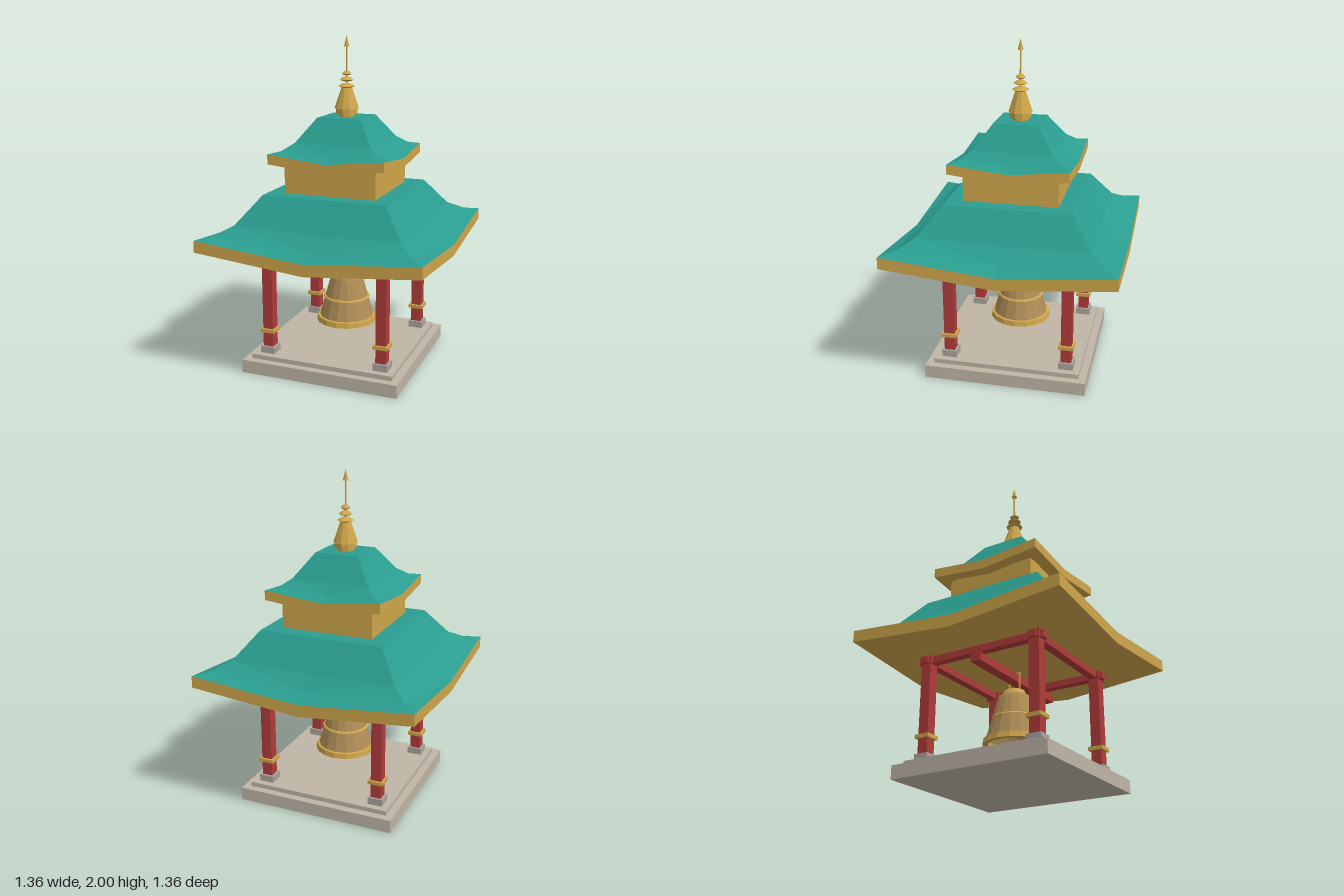
import * as THREE from 'three';

const mat = (name, color) => new THREE.MeshStandardMaterial({ name, color, flatShading: true });

export function createModel() {
  const teal = mat('roof teal', 0x2a9d8f);
  const gold = mat('gold', 0xcfa64b);
  const red = mat('red wood', 0xb03c3a);
  const stone = mat('stone', 0xbfb5a6);
  const greyStone = mat('grey stone', 0xaaa59d);
  const bronze = mat('bronze', 0xb08d57);

  const model = new THREE.Group();
  model.name = 'bellPavilion';

  function add(name, geometry, material, x = 0, y = 0, z = 0, parent = model) {
    const mesh = new THREE.Mesh(geometry, material);
    mesh.name = name;
    mesh.position.set(x, y, z);
    parent.add(mesh);
    return mesh;
  }
  // Box given by its size and its bottom and top heights
  const box = (name, material, w, y0, y1, d, x = 0, z = 0) =>
    add(name, new THREE.BoxGeometry(w, y1 - y0, d), material, x, (y0 + y1) / 2, z);
  const lathe = (name, material, points, sides, y = 0) =>
    add(name, new THREE.LatheGeometry(points.map(p => new THREE.Vector2(...p)), sides), material, 0, y, 0);

  // Stacks square rings [half width, height at mid side, height at corner]
  const DIRS = [[0, 1], [1, 1], [1, 0], [1, -1], [0, -1], [-1, -1], [-1, 0], [-1, 1]];
  function squareLoft(rings, cap) {
    const pos = [], index = [];
    for (const [r, yMid, yCorner] of rings)
      DIRS.forEach(([dx, dz], i) => pos.push(r * dx, i % 2 ? yCorner : yMid, r * dz));
    for (let k = 0; k < rings.length - 1; k++)
      for (let i = 0; i < 8; i++) {
        const j = (i + 1) % 8, a = k * 8 + i, b = k * 8 + j, c = b + 8, d = a + 8;
        if (i % 2) index.push(a, b, d, b, c, d);
        else index.push(a, b, c, a, c, d);
      }
    const ring = cap === 'top' ? rings.length - 1 : 0;
    const centre = pos.length / 3;
    pos.push(0, rings[ring][1], 0);
    for (let i = 0; i < 8; i++) {
      const a = ring * 8 + i, b = ring * 8 + (i + 1) % 8;
      index.push(centre, ...(cap === 'top' ? [a, b] : [b, a]));
    }
    const g = new THREE.BufferGeometry();
    g.setAttribute('position', new THREE.Float32BufferAttribute(pos, 3));
    g.setIndex(index);
    g.computeVertexNormals();
    return g;
  }
  // Roof with upturned corners over a gold eave
  function roof(name, rings, thickness) {
    const [r, yMid, yCorner] = rings[0];
    add(name, squareLoft(rings, 'top'), teal);
    add(name + 'Eave', squareLoft([[r, yMid - thickness, yCorner - thickness], rings[0]], 'bottom'), gold);
  }

  // Stepped base
  box('baseStep', stone, 0.98, 0, 0.08, 0.98);
  box('baseTop', stone, 0.89, 0.08, 0.108, 0.89);

  // Columns with pads, bands and caps
  for (const x of [-0.36, 0.36]) for (const z of [-0.36, 0.36]) {
    box('columnPad', greyStone, 0.09, 0.108, 0.15, 0.09, x, z);
    box('column', red, 0.064, 0.15, 0.73, 0.064, x, z);
    box('columnBand', gold, 0.092, 0.24, 0.262, 0.092, x, z);
    box('columnCap', red, 0.08, 0.685, 0.732, 0.08, x, z);
  }

  // Beams under the roof and the beam carrying the bell
  for (const s of [-0.36, 0.36]) {
    box('frontBackBeam', red, 0.83, 0.686, 0.726, 0.05, 0, s);
    box('sideBeam', red, 0.05, 0.686, 0.726, 0.83, s, 0);
  }
  box('bellBeam', red, 0.83, 0.62, 0.67, 0.064);

  // Hanger straps on each side of the bell beam
  for (const z of [-0.035, 0.035]) box('bellHanger', gold, 0.01, 0.56, 0.685, 0.01, 0, z);
  box('bellHangerTop', gold, 0.01, 0.675, 0.685, 0.08);

  // Bell, open below
  const bellBronze = bronze;
  bellBronze.side = THREE.DoubleSide;
  lathe('bellBody', bellBronze, [[0.17, 0.265], [0.146, 0.35], [0.122, 0.44], [0.1, 0.515], [0.09, 0.535], [0, 0.537]], 16);
  lathe('bellRim', gold, [[0.155, 0.24], [0.187, 0.24], [0.182, 0.272], [0.155, 0.276], [0.155, 0.24]], 16);
  lathe('bellBand', gold, [[0.146, 0.393], [0.14, 0.401], [0.13, 0.401]], 16);
  lathe('bellCrown', gold, [[0.078, 0.532], [0.06, 0.57], [0, 0.57]], 16);

  // Two roofs with the storey between them
  roof('lowerRoof', [[0.678, 0.795, 0.86], [0.595, 0.832, 0.876], [0.505, 0.912, 0.926], [0.38, 1.09, 1.09]], 0.07);
  box('upperStorey', gold, 0.565, 1.09, 1.255, 0.565);
  roof('upperRoof', [[0.357, 1.29, 1.328], [0.295, 1.322, 1.342], [0.235, 1.378, 1.385], [0.135, 1.525, 1.525]], 0.058);

  // Spire
  const SIDES = 10;
  lathe('spireBase', gold, [[0, 1.525], [0.05, 1.525], [0.05, 1.54], [0.065, 1.54], [0.065, 1.575], [0, 1.575]], SIDES);
  lathe('spireCone', gold, [[0, 1.572], [0.073, 1.572], [0.06, 1.61], [0.03, 1.7], [0, 1.7]], SIDES);
  for (const [r, y] of [[0.052, 1.695], [0.042, 1.733], [0.03, 1.768]])
    lathe('spireDisc', gold, [[0, 0], [r * 0.6, 0], [r, 0.008], [r * 0.5, 0.024], [0, 0.026]], SIDES, y);
  add('spireRod', new THREE.CylinderGeometry(0.005, 0.006, 0.26, 8), gold, 0, 1.82, 0);
  add('spireTip', new THREE.ConeGeometry(0.017, 0.065, 8), gold, 0, 1.9675, 0);

  return model;
}
